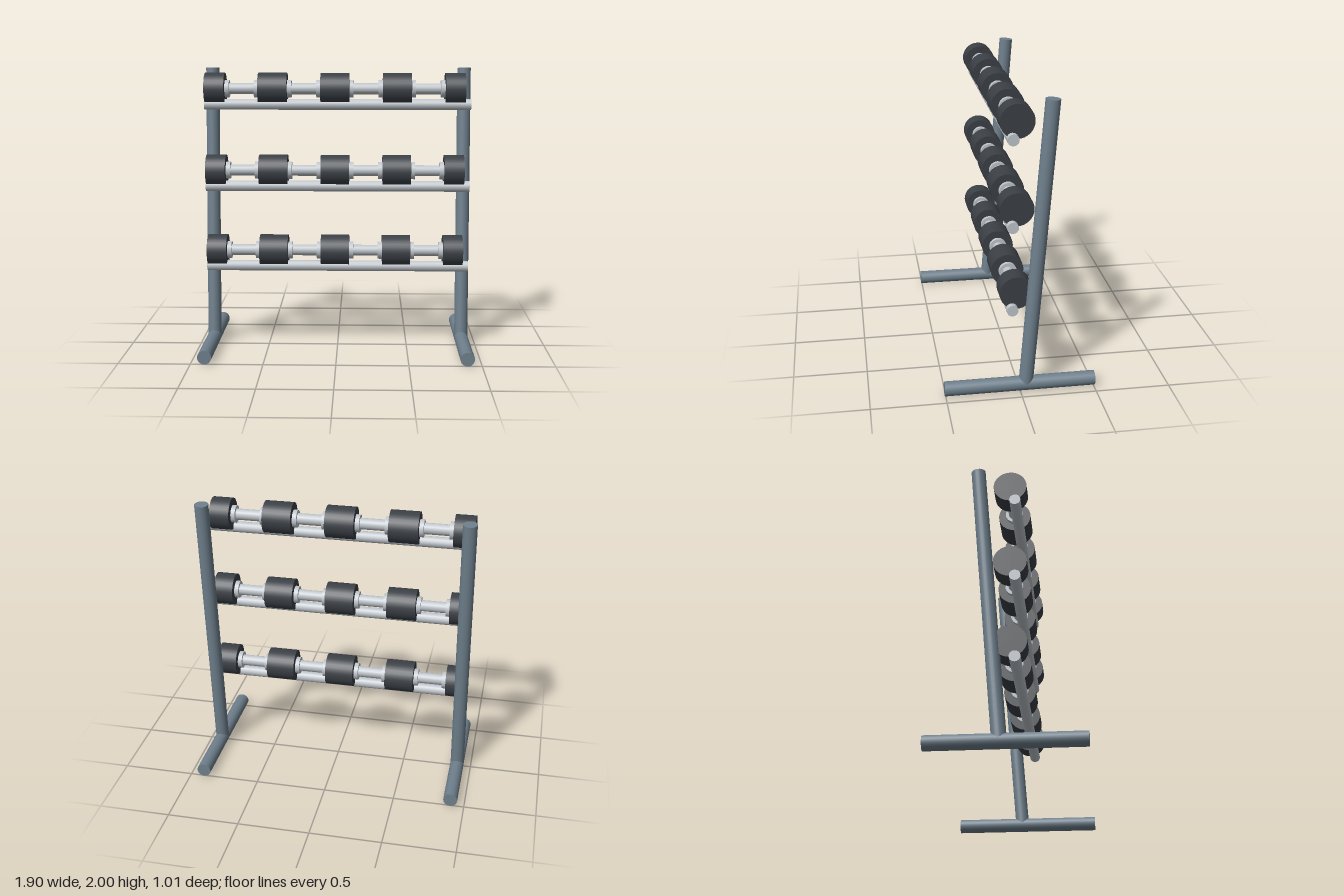
import * as THREE from 'three';

const frameSteel = new THREE.MeshStandardMaterial({ name: 'frameSteel', color: 0x6e7f8c });
const darkRubber = new THREE.MeshStandardMaterial({ name: 'darkRubber', color: 0x3b4046 });
const chrome = new THREE.MeshStandardMaterial({ name: 'chrome', color: 0xc0c6cc });

// Capped rod running from point a to point b
function rod(name, a, b, radius, sides, material) {
  const from = new THREE.Vector3(...a);
  const to = new THREE.Vector3(...b);
  const axis = to.clone().sub(from);
  const mesh = new THREE.Mesh(new THREE.CylinderGeometry(radius, radius, axis.length(), sides), material);
  mesh.name = name;
  mesh.position.copy(from).add(to).multiplyScalar(0.5);
  mesh.quaternion.setFromUnitVectors(new THREE.Vector3(0, 1, 0), axis.normalize());
  return mesh;
}

export function createModel() {
  const rack = new THREE.Group();
  rack.name = 'dumbbellRack';

  // Floor feet and back-leaning uprights
  for (const [side, x] of [['right', -0.903], ['left', 0.9]]) {
    rack.add(rod(side + 'Foot', [x, 0.049, -0.506], [x, 0.049, 0.506], 0.049, 24, frameSteel));
    rack.add(rod(side + 'Upright', [x, 0.06, -0.04], [x, 1.996, -0.193], 0.048, 24, frameSteel));
  }

  // Three tiers, each a support rail carrying a row of four dumbbells
  const centres = [-0.671, -0.235, 0.2, 0.634];
  const grip = 0.117; // half the gap between a dumbbell's heads
  const reach = 0.256; // dumbbell centre to outer end
  const z = 0.024;

  [0.706, 1.282, 1.858].forEach((y, i) => {
    const tier = new THREE.Group();
    tier.name = 'tier' + (i + 1);
    const barX = (name, x0, x1, r, sides, mat) => tier.add(rod(name, [x0, y, z], [x1, y, z], r, sides, mat));

    tier.add(rod('rail', [-0.931, y - 0.107, 0.056], [0.93, y - 0.107, 0.056], 0.038, 16, chrome));

    for (const c of centres) {
      barX('handle', c - grip - 0.02, c + grip + 0.02, 0.039, 20, chrome);
      for (const s of [-1, 1]) {
        barX('collar', c + s * (grip - 0.03), c + s * (grip + 0.01), 0.061, 24, chrome);
      }
    }

    // Heads: neighbouring dumbbells touch, so inner heads join into one block
    const edges = [centres[0] - reach];
    for (const c of centres) edges.push(c - grip, c + grip);
    edges.push(centres[3] + reach);
    for (let k = 0; k < edges.length; k += 2) {
      barX('weightHead', edges[k], edges[k + 1], 0.111, 32, darkRubber);
    }
    rack.add(tier);
  });

  return rack;
}
